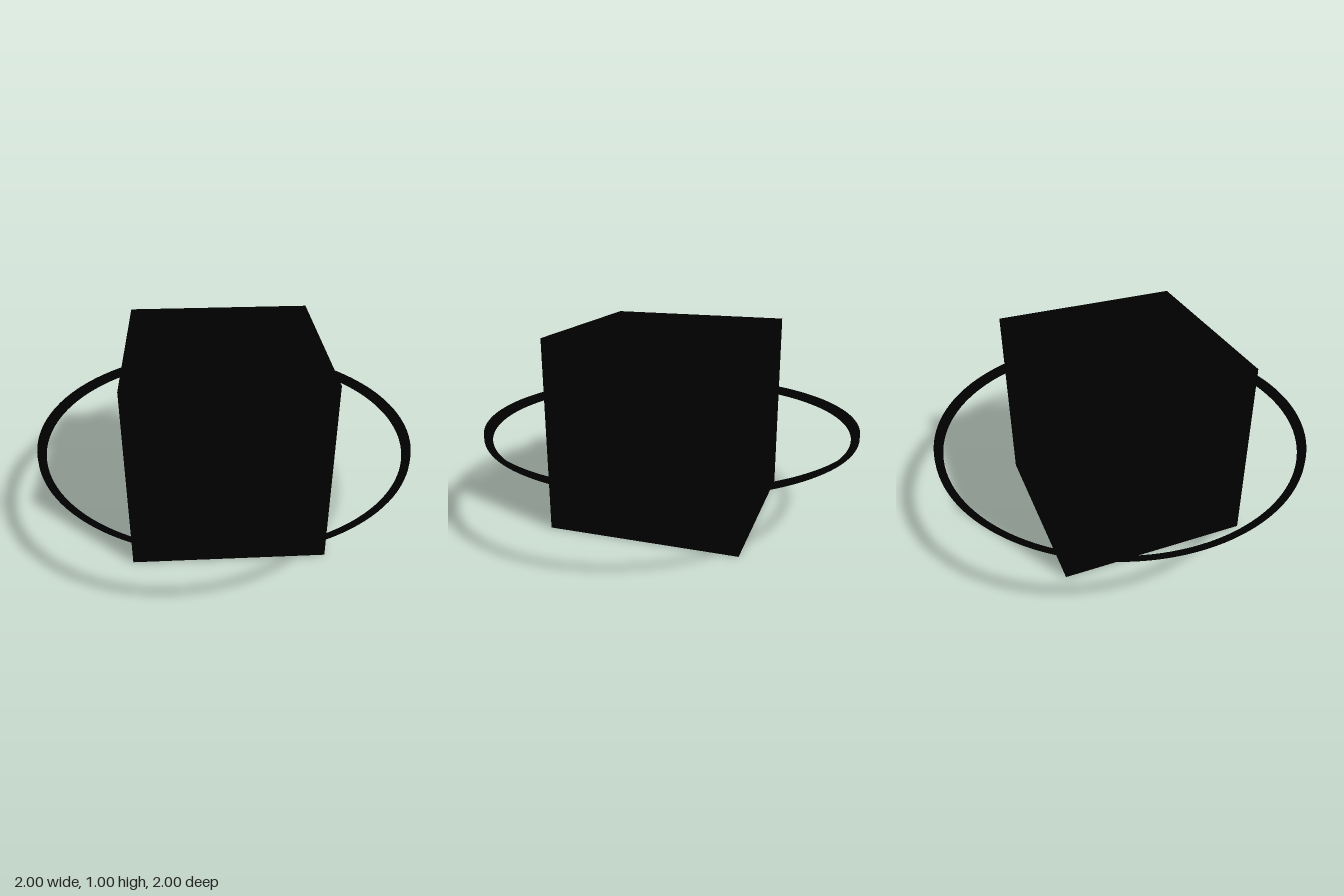
import * as THREE from 'three';

export function createModel() {
  const model = new THREE.Group();
  const size = 1.005;

  // Solid cube standing on the ground
  const cube = new THREE.Mesh(
    new THREE.BoxGeometry(size, size, size),
    new THREE.MeshStandardMaterial({ color: 0x000000 })
  );
  cube.name = 'cube';
  cube.position.y = size / 2;
  model.add(cube);

  // Thin ring: a floor flange curving up into an outer wall, open inward and upward
  const top = size / 2, bottom = 0.462, outer = 1, inner = 0.957, r = 0.014;
  const profile = [new THREE.Vector2(inner, bottom)];
  for (let i = 0; i <= 4; i++) {
    const a = -Math.PI / 2 + (i / 4) * (Math.PI / 2);
    profile.push(new THREE.Vector2(outer - r + r * Math.cos(a), bottom + r + r * Math.sin(a)));
  }
  profile.push(new THREE.Vector2(outer, top));

  const ring = new THREE.Mesh(
    new THREE.LatheGeometry(profile, 128),
    new THREE.MeshStandardMaterial({ color: 0x000000, side: THREE.DoubleSide })
  );
  ring.name = 'ring';
  model.add(ring);

  return model;
}
